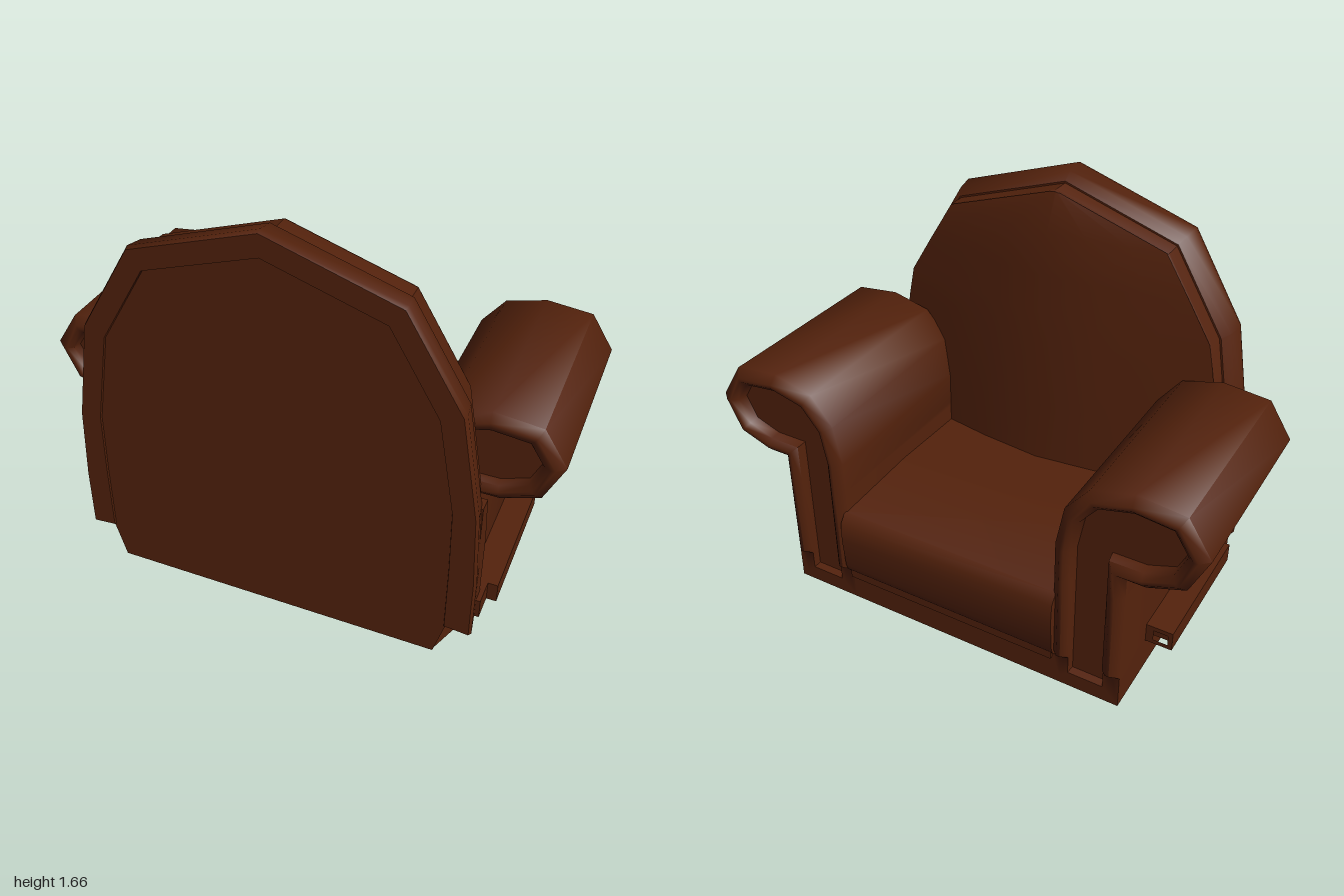
import * as THREE from 'three';
import { toCreasedNormals } from 'three/addons/utils/BufferGeometryUtils.js';

const leather = new THREE.MeshStandardMaterial({ color: 0x54220c });
leather.name = 'brown leather';

// Moves every edge of a counter-clockwise outline inwards by d
function inset(pts, d) {
  const n = pts.length;
  return pts.map(([x, y], i) => {
    const [px, py] = pts[(i + n - 1) % n], [qx, qy] = pts[(i + 1) % n];
    const l1 = Math.hypot(x - px, y - py), l2 = Math.hypot(qx - x, qy - y);
    const ax = -(y - py) / l1, ay = (x - px) / l1;
    const bx = -(qy - y) / l2, by = (qx - x) / l2;
    const k = d / (1 + ax * bx + ay * by);
    return [x + (ax + bx) * k, y + (ay + by) * k];
  });
}

// Solid through rings of [z, inset] of one outline, capped at both ends;
// bend may change z by height
function loft(outline, rings, crease, bend = (y, z) => z) {
  const n = outline.length, pos = [], idx = [];
  for (const [z, d] of rings) for (const [x, y] of inset(outline, d)) pos.push(x, y, bend(y, z));
  for (let k = 0; k < rings.length - 1; k++) {
    for (let i = 0; i < n; i++) {
      const a = k * n + i, b = k * n + (i + 1) % n;
      idx.push(a, b, b + n, a, b + n, a + n);
    }
  }
  const cap = (k, flip) => {
    const contour = inset(outline, rings[k][1]).map(p => new THREE.Vector2(...p));
    for (const [a, b, c] of THREE.ShapeUtils.triangulateShape(contour, [])) {
      const o = k * n;
      if (flip) idx.push(o + a, o + c, o + b); else idx.push(o + a, o + b, o + c);
    }
  };
  cap(0, true);
  cap(rings.length - 1, false);
  const g = new THREE.BufferGeometry();
  g.setAttribute('position', new THREE.Float32BufferAttribute(pos, 3));
  g.setIndex(idx);
  return toCreasedNormals(g, crease);
}

const mirrored = pts => pts.map(([x, y]) => [-x, y]).reverse();
// Right half from bottom to top, the last point on the centre line
const symmetric = half => [...half, ...mirrored(half.slice(0, -1))];
const shapeOf = pts => new THREE.Shape(pts.map(p => new THREE.Vector2(...p)));
const extrude = (shape, depth) => new THREE.ExtrudeGeometry(shape, { depth, bevelEnabled: false });

export function createModel() {
  const group = new THREE.Group();
  const add = (name, geometry) => {
    const mesh = new THREE.Mesh(geometry, leather);
    mesh.name = name;
    group.add(mesh);
    return mesh;
  };
  const box = (name, x0, x1, y0, y1, z0, z1) => {
    const m = add(name, new THREE.BoxGeometry(x1 - x0, y1 - y0, z1 - z0));
    m.position.set((x0 + x1) / 2, (y0 + y1) / 2, (z0 + z1) / 2);
  };

  // Base
  box('plinth', -0.66, 0.66, 0, 0.1, -0.39, 0.37);
  box('frontBase', -0.46, 0.46, 0.065, 0.2, -0.485, 0.295);
  box('frontLip', -0.45, 0.45, 0.18, 0.23, -0.5, 0.2);
  box('backFiller', -0.7, 0.7, 0.2, 0.53, 0.28, 0.34);
  const foot = shapeOf([[-0.72, -0.32], [-0.65, -0.505], [0.65, -0.505], [0.72, -0.32]]);
  add('backFoot', extrude(foot, 0.145).rotateX(-Math.PI / 2).translate(0, 0.065, 0));

  // Backrest core, its arched rim and the panel on the rear
  const half = [[0.785, 0.2], [0.785, 0.45], [0.77, 0.75], [0.7, 1.155], [0.49, 1.505], [0, 1.665]];
  const panelHalf = [[0.68, 0.21], [0.68, 0.5], [0.675, 0.75], [0.61, 1.12], [0.43, 1.425], [0, 1.565]];
  const arch = symmetric(half);
  add('backrest', loft(arch, [[0.32, 0.05], [0.33, 0.045], [0.45, 0.045]], 0.6));
  add('backRim', loft([...arch, ...symmetric(panelHalf).reverse()],
    [[0.4, 0.038], [0.435, 0.012], [0.505, 0], [0.525, 0.007]], 0.9));
  add('rearPanel', loft(symmetric([[0.642, 0.075], ...panelHalf]),
    [[0.32, -0.01], [0.518, -0.01]], 0.3));

  // Backrest cushion bulging towards the seat: rows of [y, half width, middle z]
  const rows = [[0.42, 0.735, 0.19], [0.75, 0.72, 0.2], [1.03, 0.675, 0.222],
    [1.15, 0.65, 0.232], [1.3, 0.56, 0.245], [1.47, 0.455, 0.26], [1.61, 0.02, 0.316]];
  const cols = [-1, -0.7, -0.35, 0, 0.35, 0.7, 1];
  const pos = [], idx = [];
  rows.forEach(([y, w, z], r) => cols.forEach((c, i) => {
    pos.push(c * w, y, z + (0.319 - z) * Math.pow(Math.abs(c), 1.4));
    if (r && i) {
      const d = r * cols.length + i, b = d - cols.length;
      idx.push(b, b - 1, d - 1, b, d - 1, d);
    }
  }));
  const cushion = new THREE.BufferGeometry();
  cushion.setAttribute('position', new THREE.Float32BufferAttribute(pos, 3));
  cushion.setIndex(idx);
  cushion.computeVertexNormals();
  add('backCushion', cushion);

  // Seat cushion: side profile swept across the width
  const seat = shapeOf([[0.505, 0.22], [0.515, 0.25], [0.525, 0.38], [0.52, 0.46],
    [0.49, 0.5], [0.1, 0.515], [-0.29, 0.5], [-0.29, 0.2], [0.49, 0.2]]);
  add('seatCushion', toCreasedNormals(
    extrude(seat, 0.92).rotateY(Math.PI / 2).translate(-0.46, 0, 0), 0.9));

  // Rolled arms with recessed ends, side bodies and rails
  const armOutline = [[0.45, 0.065], [0.72, 0.065], [0.72, 0.205], [0.72, 0.225], [0.72, 0.57],
    [0.72, 0.59], [0.72, 0.67], [0.79, 0.67], [0.93, 0.72], [1, 0.87], [0.91, 1.01], [0.73, 1.03],
    [0.57, 0.99], [0.48, 0.88], [0.45, 0.72], [0.45, 0.59], [0.45, 0.57], [0.45, 0.225], [0.45, 0.205]];
  const armRings = [[-0.455, 0.07], [-0.495, 0.065], [-0.515, 0.045], [-0.515, 0.03],
    [-0.485, 0], [0.29, 0], [0.318, 0.03], [0.318, 0.045], [0.305, 0.065], [0.27, 0.07]];
  // The foot of each arm is flush with the base, its rear with the body
  const flushFoot = (y, z) =>
    THREE.MathUtils.clamp(z, y < 0.21 ? -0.485 : -0.515, y < 0.58 ? 0.295 : 0.32);
  for (const s of [1, -1]) {
    const side = s > 0 ? 'left' : 'right';
    const sideBox = (name, x0, x1, ...yz) =>
      box(side + name, Math.min(s * x0, s * x1), Math.max(s * x0, s * x1), ...yz);
    add(side + 'Arm', loft(s > 0 ? armOutline : mirrored(armOutline), armRings, 1.1, flushFoot));
    sideBox('ArmBody', 0.47, 0.715, 0.07, 0.66, -0.44, 0.295);

    // Lower wing of the backrest, tapering into the rim
    const wing = shapeOf([[-0.46, 0.2], [-0.37, 0.2], [-0.37, 0.55], [-0.405, 0.75], [-0.46, 0.75]]);
    add(side + 'BackWing', extrude(wing, 0.09).rotateY(Math.PI / 2)
      .translate(s > 0 ? 0.68 : -0.77, 0, 0));

    // Rail with a small socket in its end
    sideBox('Rail', 0.7, 0.825, 0.2, 0.28, -0.22, 0.32);
    sideBox('RailEnd', 0.7, 0.787, 0.2, 0.28, 0.32, 0.42);
    const rim = shapeOf([[0.7, 0.2], [0.825, 0.2], [0.825, 0.28], [0.7, 0.28]]
      .map(([x, y]) => [s * x, y]));
    rim.holes.push(shapeOf([[0.75, 0.218], [0.807, 0.218], [0.807, 0.262], [0.75, 0.262]]
      .map(([x, y]) => [s * x, y])));
    add(side + 'RailSocket', extrude(rim, 0.04).translate(0, 0, -0.26));
  }
  return group;
}
